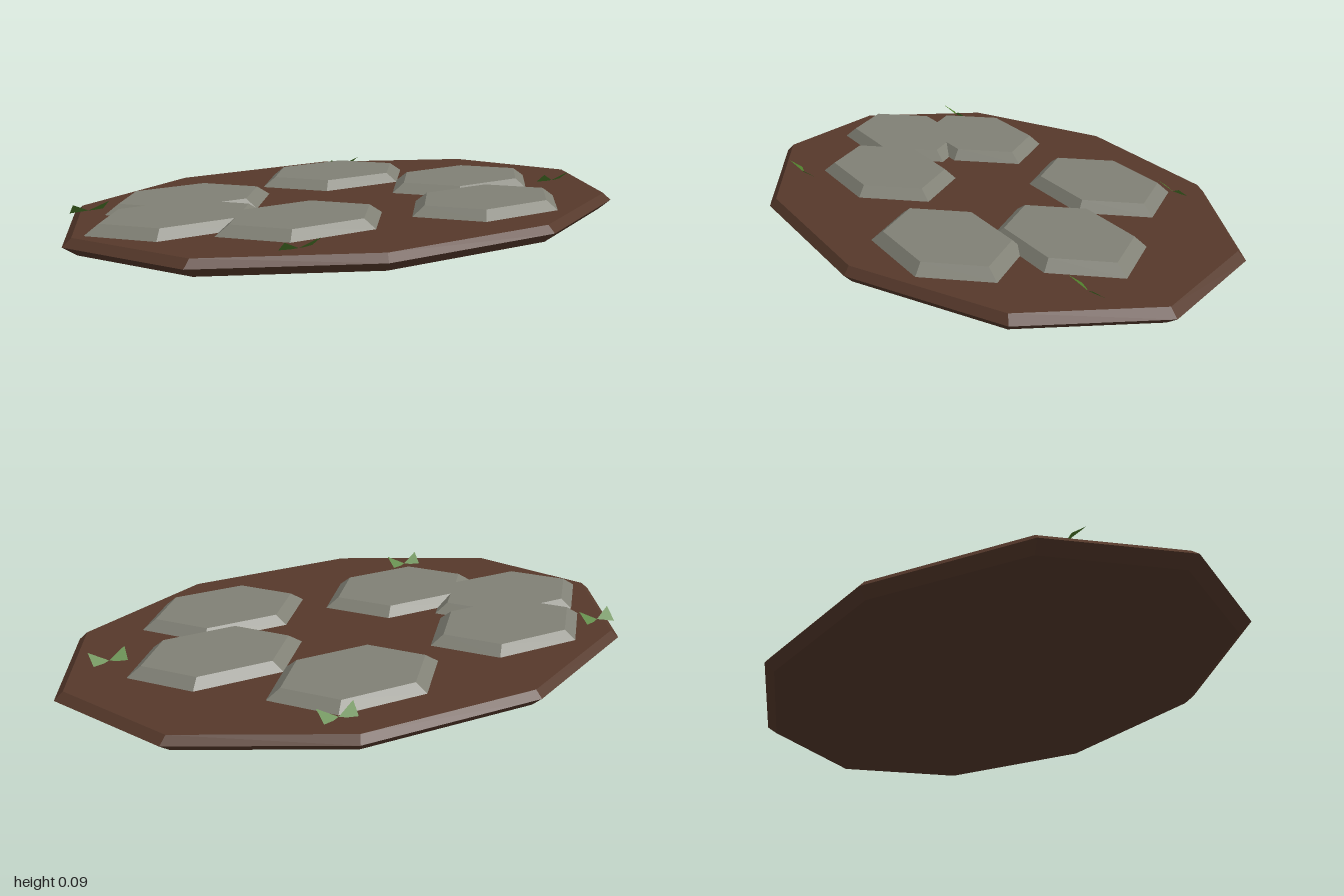
import * as THREE from 'three';

const soil = new THREE.MeshStandardMaterial({ name: 'soilBrown', color: 0x56392b });
const stone = new THREE.MeshStandardMaterial({ name: 'stoneGrey', color: 0x808075 });
const grass = new THREE.MeshStandardMaterial({ name: 'grassGreen', color: 0x4f7f2b, side: THREE.DoubleSide });

// Faceted slab: profile is [scale, y] from bottom to top, stretched to rx by rz
function slab(name, sides, rx, rz, profile, material) {
  const points = profile.map(([r, y]) => new THREE.Vector2(r, y));
  const geometry = new THREE.LatheGeometry(points, sides, Math.PI / 2).toNonIndexed();
  geometry.scale(rx, 1, rz);
  geometry.computeVertexNormals();
  const mesh = new THREE.Mesh(geometry, material);
  mesh.name = name;
  return mesh;
}

// Tuft: two mirrored blades fanning outward and leaning forward
function grassTuft(x, z) {
  const position = [];
  for (const s of [-1, 1]) {
    const corners = [[0, 0.058, 0], [s * 0.055, 0.05, -0.025], [s * 0.06, 0.087, 0.025]];
    if (s > 0) corners.reverse();
    position.push(...corners.reverse().flat());
  }
  const geometry = new THREE.BufferGeometry();
  geometry.setAttribute('position', new THREE.Float32BufferAttribute(position, 3));
  geometry.computeVertexNormals();
  const mesh = new THREE.Mesh(geometry, grass);
  mesh.name = 'grassTuft';
  mesh.position.set(x, 0, z);
  return mesh;
}

export function createModel() {
  const model = new THREE.Group();
  model.name = 'steppingStonePatch';

  // Ten-sided soil bed with a bevelled rim
  model.add(slab('soilBed', 10, 1, 0.698,
    [[0, 0], [0.955, 0], [1, 0.03], [0.97, 0.055], [0, 0.055]], soil));

  // Hexagonal paving stones, some overlapping
  const stones = [[0.155, -0.335], [0.475, 0], [0.315, 0.33], [-0.32, 0.22], [-0.635, 0], [-0.48, -0.225]];
  for (const [x, z] of stones) {
    const paver = slab('pavingStone', 6, 0.298, 0.21,
      [[0, 0.045], [1, 0.045], [1, 0.055], [0.84, 0.086], [0, 0.086]], stone);
    paver.position.set(x, 0, z);
    model.add(paver);
  }

  // Grass tufts around the edge
  const tufts = [[0.31, -0.53], [-0.8, -0.305], [0.785, 0.142], [-0.485, 0.475]];
  for (const [x, z] of tufts) model.add(grassTuft(x, z));

  return model;
}
